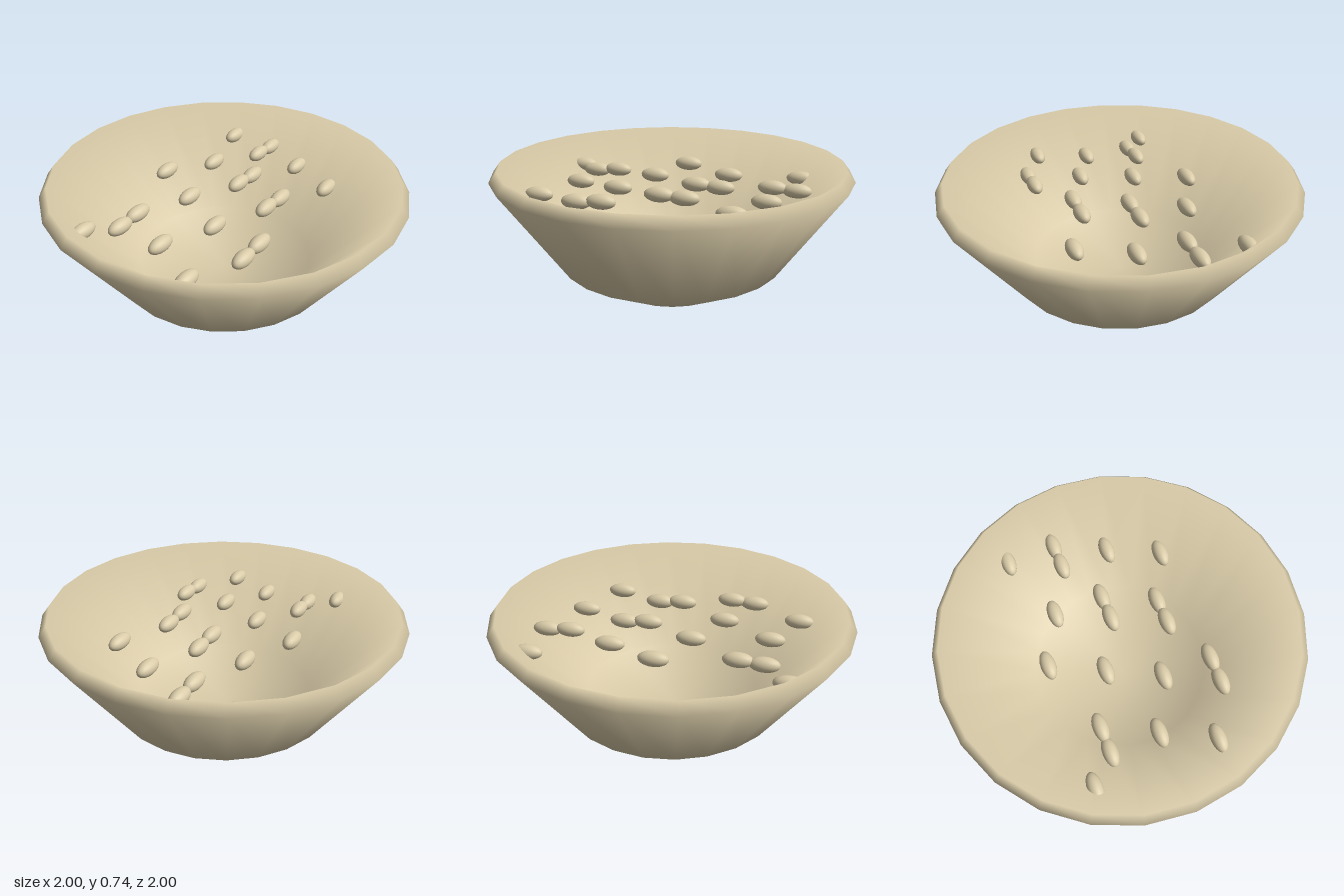
import * as THREE from 'three';

// Turned shape whose normals weigh neighbouring bands equally, for a soft rim
function softLathe(points, sides) {
  const lathe = new THREE.LatheGeometry(points.map(([r, y]) => new THREE.Vector2(r, y)), sides);
  const bands = points.slice(1).map(([r, y], i) =>
    new THREE.Vector2(y - points[i][1], points[i][0] - r).normalize());
  const last = points.length - 1;
  const slopes = points.map(([r], i) => {
    const n = bands[Math.max(i - 1, 0)].clone().add(bands[Math.min(i, last - 1)]);
    return r === 0 ? n.set(0, Math.sign(n.y)) : n.normalize();
  });
  const normal = lathe.getAttribute('normal');
  for (let k = 0; k < normal.count; k++) {
    const n = slopes[k % points.length];
    const angle = Math.floor(k / points.length) / sides * Math.PI * 2;
    normal.setXYZ(k, n.x * Math.sin(angle), n.y, n.x * Math.cos(angle));
  }
  return lathe;
}

export function createModel() {
  const model = new THREE.Group();
  const clay = new THREE.MeshStandardMaterial({ color: 0xd9cba8 });
  clay.name = 'warm beige';

  // Bowl: foot, outer wall, bevelled rim, inner wall and shallow inner floor
  const bowl = new THREE.Mesh(softLathe([
    [0, 0], [0.342, 0], [0.637, 0.159], [1, 0.68], [0.957, 0.736],
    [0.5, 0.205], [0, 0.1],
  ], 24), clay);
  bowl.name = 'bowl';
  model.add(bowl);

  // Grains: small ellipsoids on a grid, lying lower towards the sides
  const step = 0.1378;
  const rows = {
    '-3': [-5, 0, 5],
    '-2': [-4, -3, 2],
    '-1': [-1, 4, 5],
    '0': [-4, 1, 2],
    '1': [-2, 4],
    '2': [-5, 0, 1],
    '3': [-3, -2, 3],
  };
  const grainGeometry = new THREE.SphereGeometry(0.083, 20, 14).scale(1, 0.5, 0.5);
  const grains = new THREE.Group();
  grains.name = 'grains';
  for (const [row, columns] of Object.entries(rows)) {
    for (const column of columns) {
      const grain = new THREE.Mesh(grainGeometry, clay);
      grain.name = 'grain';
      grain.position.set(column * step, 0.62 - 0.0098 * Math.abs(column), Number(row) * step);
      grains.add(grain);
    }
  }
  model.add(grains);
  return model;
}
